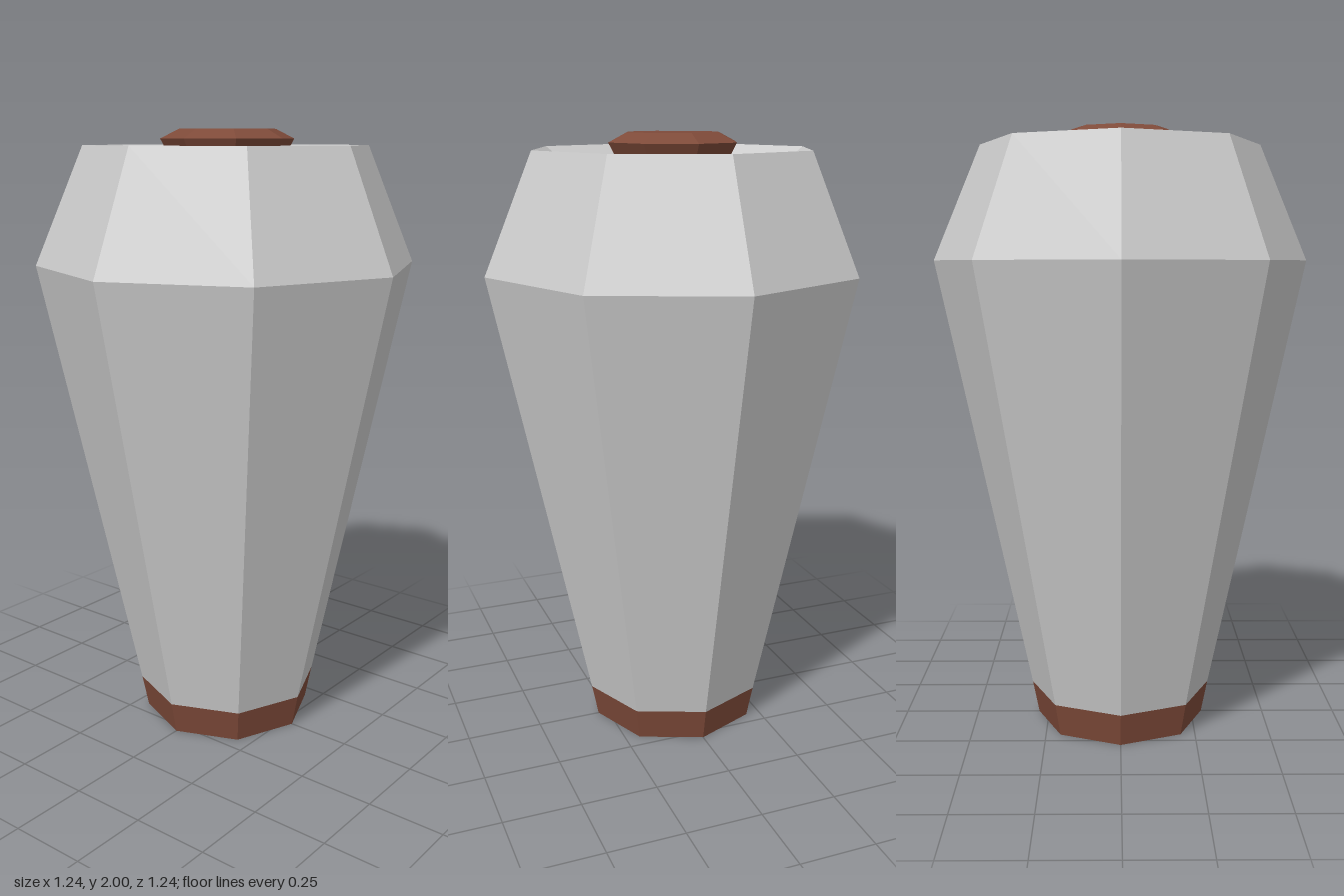
import * as THREE from 'three';

const SIDES = 8;

function material(color) {
  return new THREE.MeshStandardMaterial({ color, flatShading: true });
}

// Eight-sided turned part; profile is [radius, height] from bottom to top
function turned(name, profile, mat) {
  const points = profile.map(([r, y]) => new THREE.Vector2(r, y));
  const mesh = new THREE.Mesh(new THREE.LatheGeometry(points, SIDES), mat);
  mesh.name = name;
  return mesh;
}

export function createModel() {
  const group = new THREE.Group();
  group.name = 'vase';
  const grey = material(0xcccccc);
  const brown = material(0x7e4a39);

  // Coloured foot, closed underneath
  group.add(turned('foot', [[0, 0], [0.285, 0], [0.307, 0.11]], brown));

  // Flaring body, shoulder, and the funnel sinking inside the rim
  group.add(turned('body', [
    [0.307, 0.11], [0.62, 1.575], [0.46, 1.95], [0.256, 1.8],
  ], grey));

  // Collar at the foot of the funnel, with a recess for the stopper
  group.add(turned('collar', [
    [0.256, 1.8], [0.256, 1.85], [0.2, 1.85], [0.2, 1.82], [0, 1.82],
  ], grey));

  // Tapered stopper with a bevelled top
  group.add(turned('stopper', [
    [0, 1.82], [0.135, 1.82], [0.215, 1.97], [0.155, 2], [0, 2],
  ], brown));

  return group;
}
